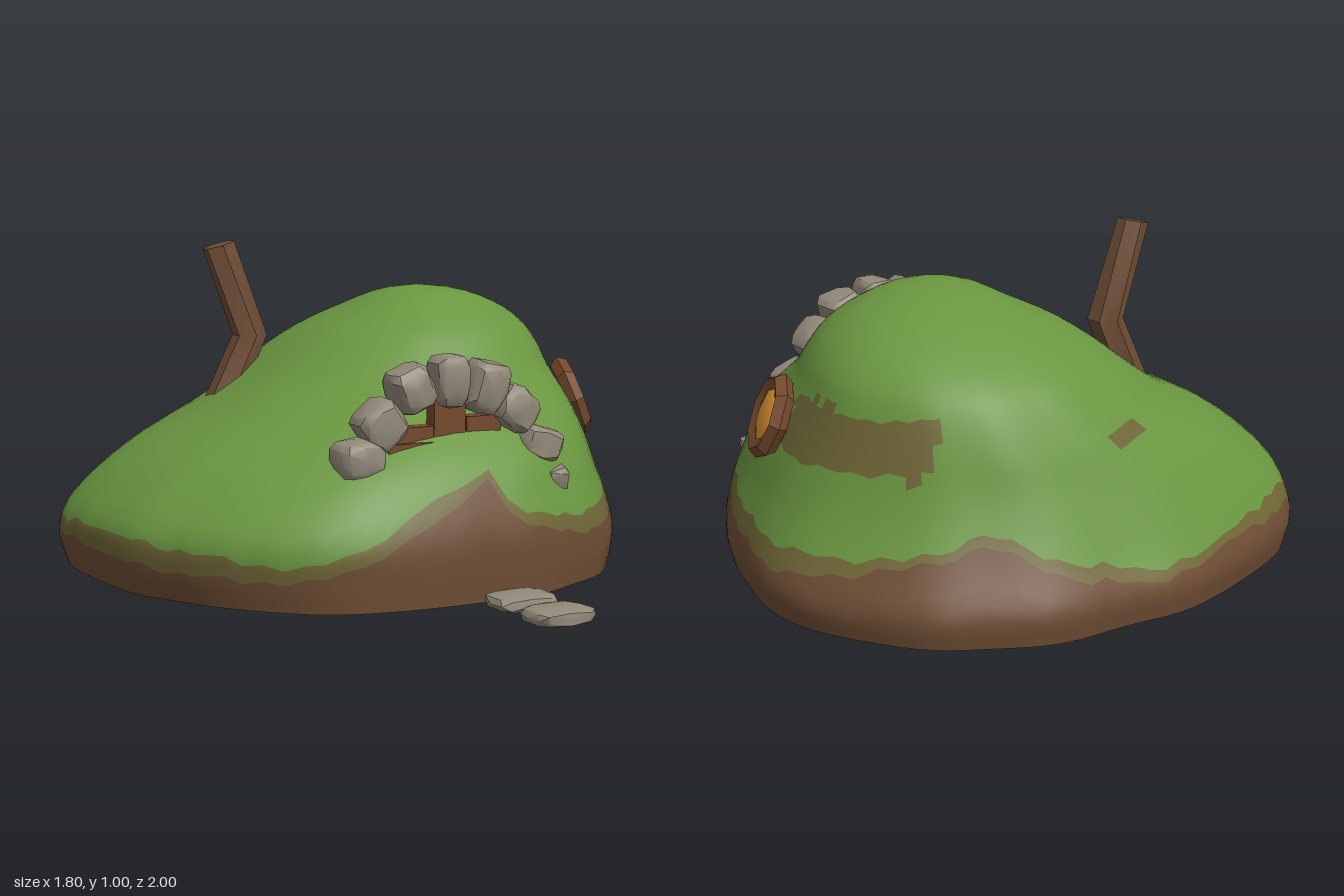
import * as THREE from 'three';
import { toCreasedNormals } from 'three/addons/utils/BufferGeometryUtils.js';

const paint = (name, color) => Object.assign(new THREE.MeshStandardMaterial({ color }), { name });

// Ground outline [x, z], clockwise from the back
const FOOTPRINT = [[-0.1, -1], [0.15, -0.98], [0.38, -0.96], [0.56, -0.87], [0.73, -0.74], [0.88, -0.47], [0.9, -0.26],
  [0.84, -0.05], [0.76, 0.15], [0.58, 0.41], [0.4, 0.52], [0.2, 0.6], [-0.2, 0.61], [-0.47, 0.54], [-0.68, 0.35],
  [-0.8, 0.16], [-0.87, 0], [-0.9, -0.37], [-0.84, -0.6], [-0.68, -0.8], [-0.45, -0.91]];
// Hill extents by height [y, left x, right x, front z, back z]
const LAYERS = [[0.01, -0.87, 0.88, 0.605, -0.99], [0.1, -0.9, 0.9, 0.61, -1], [0.2, -0.89, 0.86, 0.61, -0.95],
  [0.3, -0.8, 0.81, 0.57, -0.9], [0.4, -0.66, 0.77, 0.51, -0.85], [0.5, -0.46, 0.73, 0.4, -0.8],
  [0.6, -0.31, 0.69, 0.25, -0.74], [0.67, -0.22, 0.66, 0.18, -0.68], [0.74, -0.12, 0.6, 0.12, -0.58],
  [0.8, 0, 0.51, 0.04, -0.46], [0.85, 0.1, 0.37, -0.05, -0.31], [0.87, 0.22, 0.22, -0.17, -0.17]];
// Height of the earth and moss lines round the hill [degrees from front, earth, moss]
const LINES = [[0, 0.35, 0.38], [2, 0.39, 0.41], [10, 0.27, 0.3], [20, 0.2, 0.24], [38, 0.16, 0.22], [55, 0.18, 0.24],
  [65, 0.2, 0.25], [80, 0.16, 0.22], [100, 0.15, 0.21], [125, 0.22, 0.24], [140, 0.28, 0.31], [160, 0.16, 0.2],
  [180, 0.12, 0.15], [200, 0.16, 0.18], [220, 0.15, 0.2], [250, 0.13, 0.17], [275, 0.12, 0.19], [300, 0.1, 0.17],
  [325, 0.1, 0.14], [340, 0.17, 0.22], [350, 0.24, 0.31], [356, 0.29, 0.35], [360, 0.35, 0.38]];

function linesAt(deg) {
  const k = Math.max(1, LINES.findIndex(l => l[0] >= deg));
  const [a, b] = [LINES[k - 1], LINES[k]];
  const f = (deg - a[0]) / (b[0] - a[0]);
  const wobble = 0.008 * Math.sin(deg * 0.7) + 0.006 * Math.sin(deg * 0.31 + 1);
  return [1, 2].map(i => THREE.MathUtils.lerp(a[i], b[i], f) + wobble);
}

// Hill: stacked outlines, with rows fitted to the earth and moss lines
function makeHill(materials) {
  const COLS = 96, bands = [6, 2, 24], top = LAYERS.length - 1;
  const outline = new THREE.CatmullRomCurve3(FOOTPRINT.map(([x, z]) => new THREE.Vector3(x / 0.9, 0, (z + 0.195) / 0.805)), true, 'catmullrom');
  const sides = new THREE.CatmullRomCurve3(LAYERS.map(l => new THREE.Vector3(l[1], l[0], l[2])), false, 'catmullrom');
  const ends = new THREE.CatmullRomCurve3(LAYERS.map(l => new THREE.Vector3(l[3], 0, l[4])), false, 'catmullrom');
  const rows = bands.reduce((a, b) => a + b);
  const pos = [], cells = [[], [], []];
  for (let i = 0; i < COLS; i++) {
    const p = outline.getPoint(i / COLS), r = Math.hypot(p.x, p.z);
    const deg = (Math.atan2(p.x * 0.9, p.z * 0.8) * 180 / Math.PI + 360) % 360;
    const [earth, moss] = linesAt(deg);
    const stops = [0, earth * 10, moss * 10, top];
    for (let j = 0; j <= rows; j++) {
      let b = 0, k = j;
      while (b < 2 && k > bands[b]) k -= bands[b++];
      const t = THREE.MathUtils.lerp(stops[b], stops[b + 1], k / bands[b]) / top;
      const s = sides.getPoint(t), e = ends.getPoint(t), round = THREE.MathUtils.lerp(1, 1 / r, t);
      pos.push((s.x + s.z) / 2 + (s.z - s.x) / 2 * p.x * round, s.y, (e.x + e.z) / 2 + (e.x - e.z) / 2 * p.z * round);
    }
  }
  const at = (i, j) => (i % COLS) * (rows + 1) + j;
  for (let i = 0; i < COLS; i++) for (let j = 0; j < rows; j++) {
    const a = at(i, j), b = at(i, j + 1), c = at(i + 1, j), d = at(i + 1, j + 1);
    const [x, y, z] = [0, 1, 2].map(n => (pos[a * 3 + n] + pos[d * 3 + n]) / 2);
    let band = j < bands[0] ? 0 : j < bands[0] + bands[1] ? 1 : 2;
    // Worn patches on the right slope and the back
    if (band === 2 && x > 0.4 && z < -0.1 && z > -0.63 && y > 0.44 && y < 0.6) band = 1;
    if (band === 2 && Math.abs(x + 0.02) < 0.06 && z < -0.7 && y > 0.47 && y < 0.51) band = 1;
    cells[band].push(a, b, c, b, d, c);
  }
  const geo = new THREE.BufferGeometry();
  geo.setAttribute('position', new THREE.Float32BufferAttribute(pos, 3));
  geo.setIndex(cells.flat());
  let start = 0;
  cells.forEach((c, i) => { geo.addGroup(start, c.length, i); start += c.length; });
  geo.computeVertexNormals();

  // Slightly hollow underside
  const under = [0, 0.04, -0.2], fan = [];
  for (let i = 0; i < COLS; i++) {
    under.push(...pos.slice(at(i, 0) * 3, at(i, 0) * 3 + 3));
    fan.push(0, i + 1, (i + 1) % COLS + 1);
  }
  const base = new THREE.BufferGeometry();
  base.setAttribute('position', new THREE.Float32BufferAttribute(under, 3));
  base.setIndex(fan);
  base.computeVertexNormals();
  return [new THREE.Mesh(geo, materials), new THREE.Mesh(base, materials[0])];
}

// Rough stone: a ball pushed towards a box, with uneven corners
function stoneGeometry(w, h, d, seed, taper = 0) {
  const geo = new THREE.IcosahedronGeometry(1, 1);
  const p = geo.attributes.position, v = new THREE.Vector3();
  for (let i = 0; i < p.count; i++) {
    v.fromBufferAttribute(p, i);
    const bump = 1 + 0.06 * Math.sin(v.x * 5 + seed * 2.3) * Math.cos(v.y * 4 + v.z * 3 + seed);
    const [x, y, z] = v.toArray().map(c => Math.sign(c) * Math.abs(c) ** 0.55 * bump);
    const narrow = 1 - taper * (1 - y) / 2;
    p.setXYZ(i, x * w * 0.54 * narrow, y * h * 0.54, z * d * 0.54 * narrow);
  }
  return toCreasedNormals(geo, 0.6);
}

export function createModel() {
  const moss = paint('moss', 0x6a9640), earth = paint('earth', 0x6e4d34), worn = paint('wornGrass', 0x6f6637);
  const stone = paint('stone', 0x928979), wood = paint('wood', 0x74492c), bark = paint('bark', 0x6f4e36);
  const glow = paint('amberGlass', 0xdc932f);
  const model = new THREE.Group();
  const add = (name, geo, mat, x, y, z, parent = model) => {
    const m = new THREE.Mesh(geo, mat);
    m.name = name;
    m.position.set(x, y, z);
    parent.add(m);
    return m;
  };

  const [hill, underside] = makeHill([earth, worn, moss]);
  hill.name = 'hill';
  underside.name = 'hillUnderside';
  model.add(hill, underside);

  // Door arch [x, y, width, height, turn, taper]
  [[-0.28, 0.43, 0.14, 0.11, 0.15, 0], [-0.21, 0.525, 0.13, 0.13, 0.6, 0], [-0.11, 0.625, 0.12, 0.13, 0.4, 0],
    [0.02, 0.64, 0.115, 0.15, 0, 0.2], [0.14, 0.615, 0.125, 0.15, -0.3, 0.15], [0.24, 0.545, 0.13, 0.12, -0.7, 0],
    [0.32, 0.435, 0.14, 0.1, -0.3, 0], [0.37, 0.305, 0.1, 0.115, 0.25, 0.7]].forEach(([x, y, w, h, turn, taper], i) => {
    add('archStone', stoneGeometry(w, h, 0.13, i, taper), stone, x, y, i === 7 ? 0.44 : 0.41).rotation.z = turn;
  });

  // Door planks and cross rail
  [[-0.115, 0.16, 0.51], [0.02, 0.105, 0.6], [0.135, 0.115, 0.53]].forEach(([x, w, top]) =>
    add('doorPlank', new THREE.BoxGeometry(w, top - 0.25, 0.05), wood, x, (top + 0.25) / 2, 0.395));
  add('doorRail', new THREE.BoxGeometry(0.38, 0.03, 0.02), wood, 0, 0.45, 0.425);

  // Stepping stones
  [[0.03, 0.53], [0.09, 0.72], [0.095, 0.92]].forEach(([x, z], i) =>
    add('steppingStone', stoneGeometry(0.185, 0.045, 0.145, i + 4), stone, x, 0.035, z));

  // Round window on the left slope
  const win = new THREE.Group();
  win.name = 'window';
  win.position.set(0.705, 0.5, -0.015);
  win.lookAt(0.705 + 0.85, 0.5 + 0.36, -0.015 + 0.37);
  model.add(win);
  add('windowFrame', toCreasedNormals(new THREE.TorusGeometry(0.105, 0.03, 5, 8), 0.5), wood, 0, 0, 0, win);
  const pane = add('windowPane', new THREE.SphereGeometry(0.1, 8, 3, 0, Math.PI * 2, 0, Math.PI / 2), glow, 0, 0, 0, win);
  pane.rotation.x = Math.PI / 2;
  pane.scale.y = 0.3;

  // Crooked branch chimney: a six-sided post bent at the middle
  const post = new THREE.CylinderGeometry(0.053, 0.058, 2, 6, 2);
  const bend = [[-0.375, 0.48], [-0.265, 0.71], [-0.37, 1.0]], p = post.attributes.position;
  for (let i = 0; i < p.count; i++) {
    const k = Math.round(p.getY(i)) + 1, x = p.getX(i);
    p.setXYZ(i, bend[k][0] + x, bend[k][1] + x * [-0.1, 0, 0.25][k], -0.39 + p.getZ(i) * [1, 1, 0.7][k]);
  }
  add('branchChimney', toCreasedNormals(post, 0.5), bark, 0, 0, 0);
  return model;
}
